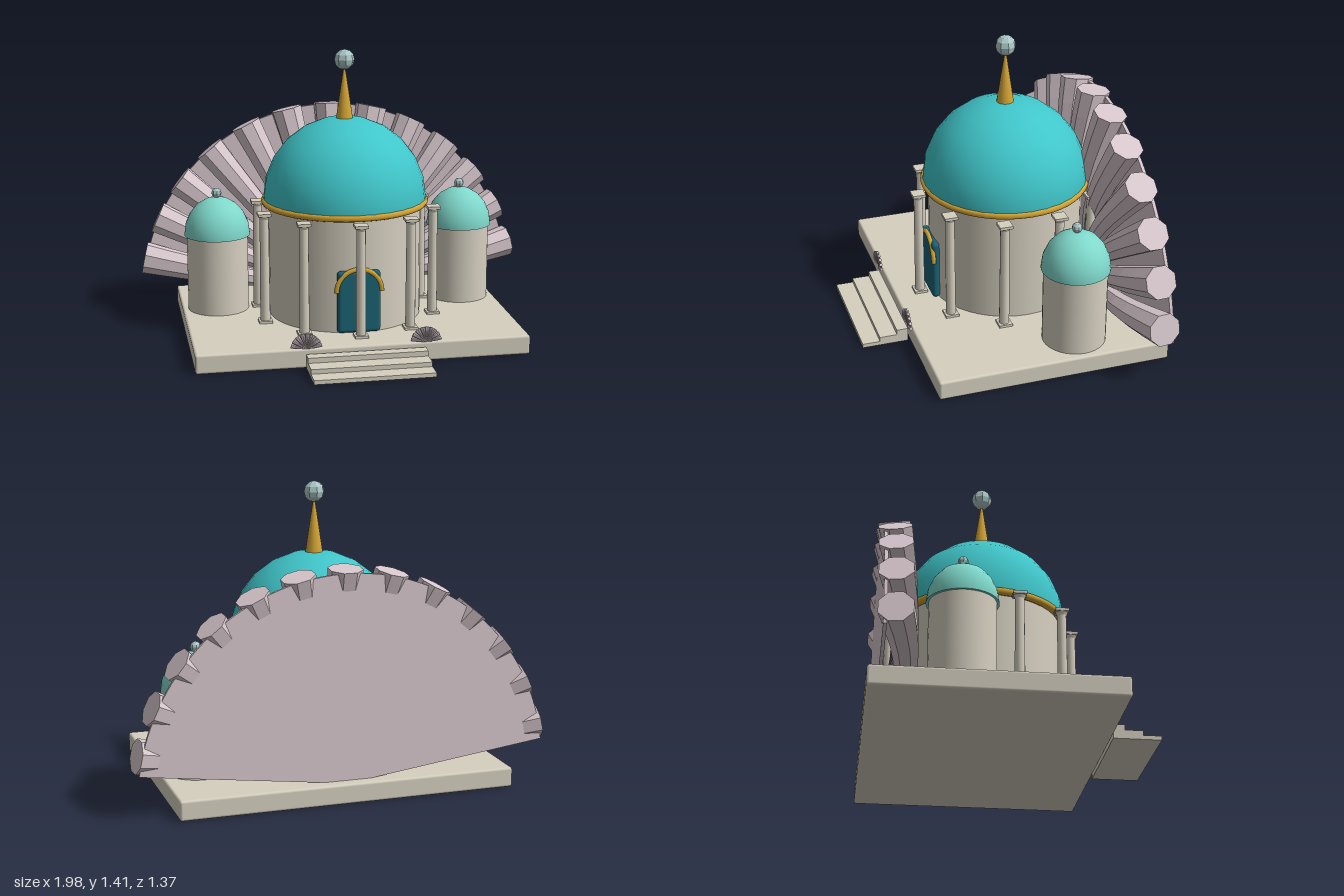
import * as THREE from 'three';
import { RoundedBoxGeometry } from 'three/addons/geometries/RoundedBoxGeometry.js';

const colour = (name, hex, flat = false) => {
  const m = new THREE.MeshStandardMaterial({ color: hex, flatShading: flat });
  m.name = name;
  return m;
};

export function createModel() {
  const stone = colour('pale stone', 0xd6d0c0);
  const turquoise = colour('turquoise', 0x40c6ca);
  const mint = colour('mint', 0x7fd8cb);
  const gold = colour('gold', 0xd4a535);
  const doorTeal = colour('deep teal', 0x1a6274);
  const shellPink = colour('shell pink', 0xd8c8ce, true);
  const pearl = colour('pearl', 0xacc8c8, true);

  const model = new THREE.Group();
  model.name = 'domedPavilion';

  const add = (parent, name, geometry, material, x = 0, y = 0, z = 0) => {
    const mesh = new THREE.Mesh(geometry, material);
    mesh.name = name;
    mesh.position.set(x, y, z);
    parent.add(mesh);
    return mesh;
  };
  const group = (name, x = 0, y = 0, z = 0) => {
    const g = new THREE.Group();
    g.name = name;
    g.position.set(x, y, z);
    model.add(g);
    return g;
  };
  const cylinder = (top, bottom, y0, y1, sides = 32) =>
    new THREE.CylinderGeometry(top, bottom, y1 - y0, sides).translate(0, (y0 + y1) / 2, 0);

  // Half-sphere roof, closed underneath
  const addDome = (parent, name, radius, height, y, rows, material) => {
    const dome = add(parent, name,
      new THREE.SphereGeometry(radius, 32, rows, 0, Math.PI * 2, 0, Math.PI / 2), material, 0, y, 0);
    dome.scale.y = height / radius;
    add(parent, name + 'Underside', new THREE.CircleGeometry(radius, 32).rotateX(Math.PI / 2), material, 0, y, 0);
  };

  // Base slab and steps
  const floor = 0.095;
  add(model, 'base', new RoundedBoxGeometry(1.6, floor, 1.13, 2, 0.012), stone, 0, floor / 2, -0.115);
  const steps = group('steps');
  [[0.685, 0.005, 0.025], [0.6, 0.025, 0.047], [0.515, 0.047, 0.072]].forEach(([front, y0, y1], i) => {
    add(steps, 'step' + (i + 1), new THREE.BoxGeometry(0.57, y1 - y0, front - 0.46),
      stone, 0, (y0 + y1) / 2, (front + 0.46) / 2);
  });

  // Main hall: drum, cornice, dome, spire and ball
  const hall = group('hall', 0, 0, -0.12);
  add(hall, 'drum', cylinder(0.376, 0.376, floor, 0.67, 48), stone);
  const cornice = add(hall, 'cornice', new THREE.TorusGeometry(0.393, 0.02, 8, 48).rotateX(Math.PI / 2), gold, 0, 0.664, 0);
  cornice.scale.y = 0.9;
  addDome(hall, 'mainDome', 0.402, 0.402, 0.677, 6, turquoise);
  add(hall, 'spire', cylinder(0.005, 0.042, 1.07, 1.315, 16), gold);
  add(hall, 'spireBall', new THREE.SphereGeometry(0.05, 8, 6), pearl, 0, 1.36, 0);

  // Ring of columns around the hall
  for (let i = 0; i < 10; i++) {
    const a = i * Math.PI / 5;
    const column = group('column', 0.44 * Math.sin(a), 0, -0.12 + 0.44 * Math.cos(a));
    add(column, 'shaft', cylinder(0.022, 0.025, floor, 0.64, 12), stone);
    add(column, 'plinth', new THREE.BoxGeometry(0.066, 0.012, 0.066), stone, 0, floor + 0.006, 0);
    add(column, 'neck', cylinder(0.03, 0.022, 0.615, 0.633, 12), stone);
    add(column, 'capital', new THREE.BoxGeometry(0.064, 0.014, 0.064), stone, 0, 0.638, 0);
  }

  // Door with arched trim
  const entrance = group('entrance');
  add(entrance, 'door', new RoundedBoxGeometry(0.21, 0.305, 0.04, 3, 0.018), doorTeal, 0, 0.253, 0.262);
  add(entrance, 'doorArch', new THREE.TorusGeometry(0.11, 0.012, 8, 20, Math.PI), gold, 0, 0.305, 0.277);

  // Side towers
  for (const side of [-1, 1]) {
    const tower = group(side > 0 ? 'leftTower' : 'rightTower', side * 0.62, 0, -0.265);
    add(tower, 'towerWall', cylinder(0.152, 0.152, floor, 0.48), stone);
    addDome(tower, 'towerDome', 0.164, 0.19, 0.477, 5, mint);
    add(tower, 'towerBall', new THREE.SphereGeometry(0.025, 8, 6), pearl, 0, 0.688, 0);
  }

  // Scallop shell of unit size: tapered ribs arching forward over a thin back plate
  const ribGeometry = (width) => {
    const g = new THREE.CylinderGeometry(1, 1, 1, 8, 8).rotateY(Math.PI / 8).translate(0, 0.5, 0);
    const p = g.attributes.position;
    for (let i = 0; i < p.count; i++) {
      const t = p.getY(i);
      const r = 0.02 + (width - 0.02) * t;
      const z = p.getZ(i) * r;
      p.setXYZ(i, p.getX(i) * r, t + z * 0.12 * t, z + 0.035 * t + 0.085 * Math.sin(Math.PI * t));
    }
    g.computeVertexNormals();
    return g;
  };
  const addShell = (name, ribs, spread, width, size, x, y, z) => {
    const shell = group(name, x, y, z);
    shell.scale.setScalar(size);
    const rib = ribGeometry(width);
    for (let i = 0; i < ribs; i++) {
      const mesh = add(shell, 'rib', rib, shellPink);
      mesh.rotation.z = spread * (i / (ribs - 1) - 0.5);
    }
    const half = spread / 2 + 0.08;
    const outline = new THREE.Shape();
    outline.moveTo(0, 0);
    outline.absarc(0, 0, 0.985, Math.PI / 2 - half, Math.PI / 2 + half, false);
    outline.lineTo(0, 0);
    add(shell, 'backPlate', new THREE.ExtrudeGeometry(outline,
      { depth: 0.016, bevelEnabled: false, curveSegments: 32 }), shellPink, 0, 0, -0.016);
  };
  const deg = Math.PI / 180;
  addShell('greatShell', 13, 156 * deg, 0.082, 0.99, 0, 0.08, -0.608);
  for (const side of [-1, 1]) {
    addShell(side > 0 ? 'leftSmallShell' : 'rightSmallShell', 9, 156 * deg, 0.11, 0.074, side * 0.285, 0.1, 0.46);
  }

  return model;
}
